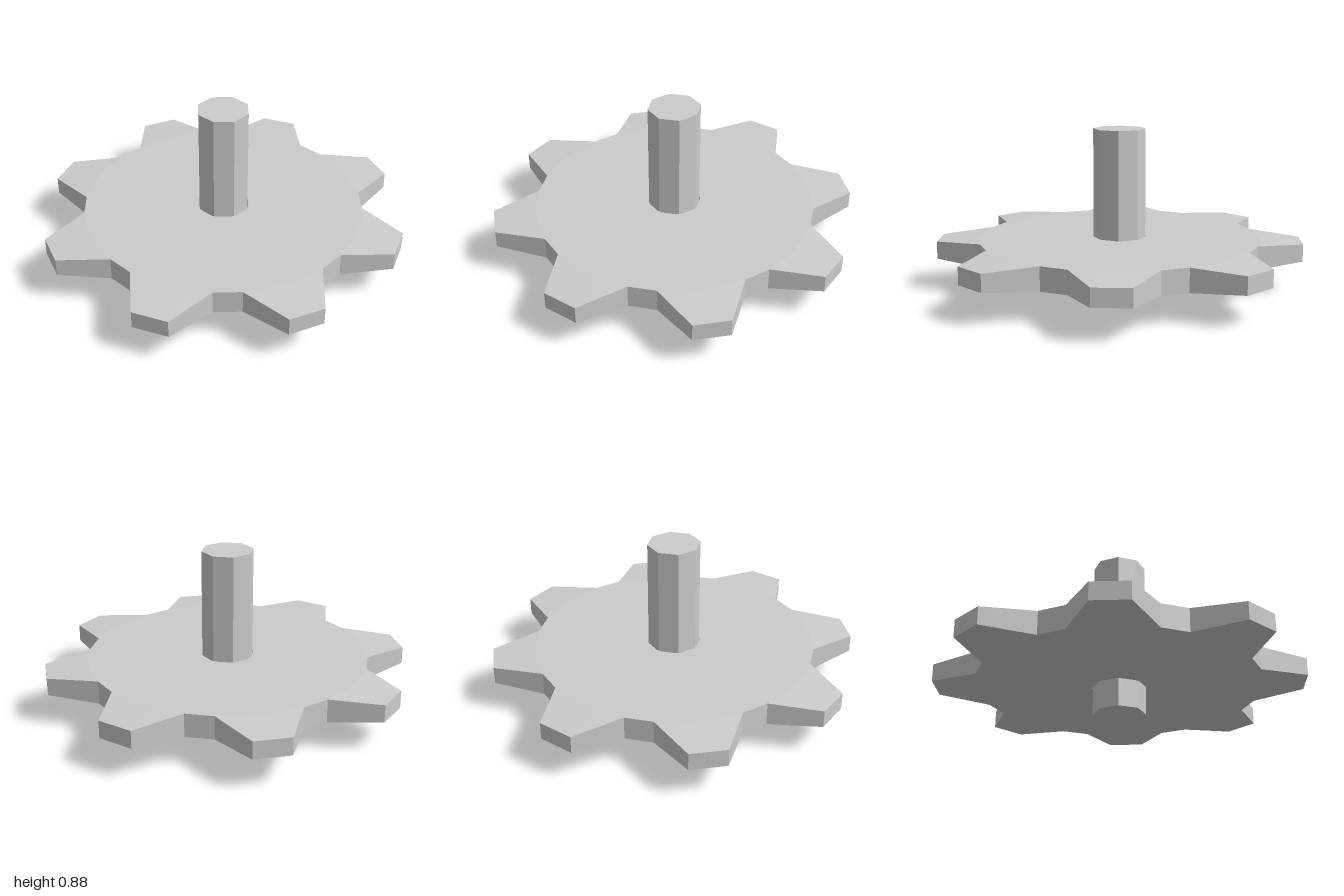
import * as THREE from 'three';

const TEETH = 8;
const MID_Y = 0.22;

// Cogwheel: one radial cross-section per corner of the outline, joined in a ring
function cogGeometry() {
  const count = TEETH * 4;
  const step = (Math.PI * 2) / count;
  const sector = Math.PI / 4;
  const positions = [];
  const index = [];
  const sections = [];

  for (let i = 0; i < count; i++) {
    const a = (i - 0.5) * step;
    // octagonal bore with corners on the axes
    const off = ((a + 2 * Math.PI) % sector) - sector / 2;
    const bore = (0.15 * Math.cos(sector / 2)) / Math.cos(off);
    const root = [0.775, 0.064];
    const tip = i % 4 < 2 ? [1.005, 0.048] : root;
    const top = [[bore, 0.068], root, tip];
    const section = [...top, ...top.map(([r, h]) => [r, -h]).reverse()];
    sections.push(section);
    for (const [r, h] of section) positions.push(r * Math.sin(a), MID_Y + h, r * Math.cos(a));
  }

  const n = sections[0].length;
  for (let i = 0; i < count; i++) {
    const k = (i + 1) % count;
    for (let j = 0; j < n; j++) {
      const m = (j + 1) % n;
      // where root and tip coincide, the quad shrinks to a triangle or nothing
      const same = (s) => sections[s][j].every((v, c) => v === sections[s][m][c]);
      if (!same(i)) index.push(i * n + j, i * n + m, k * n + m);
      if (!same(k)) index.push(i * n + j, k * n + m, k * n + j);
    }
  }

  const geometry = new THREE.BufferGeometry();
  geometry.setAttribute('position', new THREE.Float32BufferAttribute(positions, 3));
  geometry.setIndex(index);
  const flat = geometry.toNonIndexed();
  flat.computeVertexNormals();
  return flat;
}

export function createModel() {
  const group = new THREE.Group();
  group.name = 'cogOnShaft';
  const material = new THREE.MeshStandardMaterial({ color: 0xcccccc, flatShading: true });

  const cog = new THREE.Mesh(cogGeometry(), material);
  cog.name = 'cogwheel';
  group.add(cog);

  // Octagonal shaft through the bore
  const height = 0.885;
  const shaft = new THREE.Mesh(new THREE.CylinderGeometry(0.143, 0.143, height, 8), material);
  shaft.name = 'shaft';
  shaft.position.y = height / 2;
  group.add(shaft);

  return group;
}
